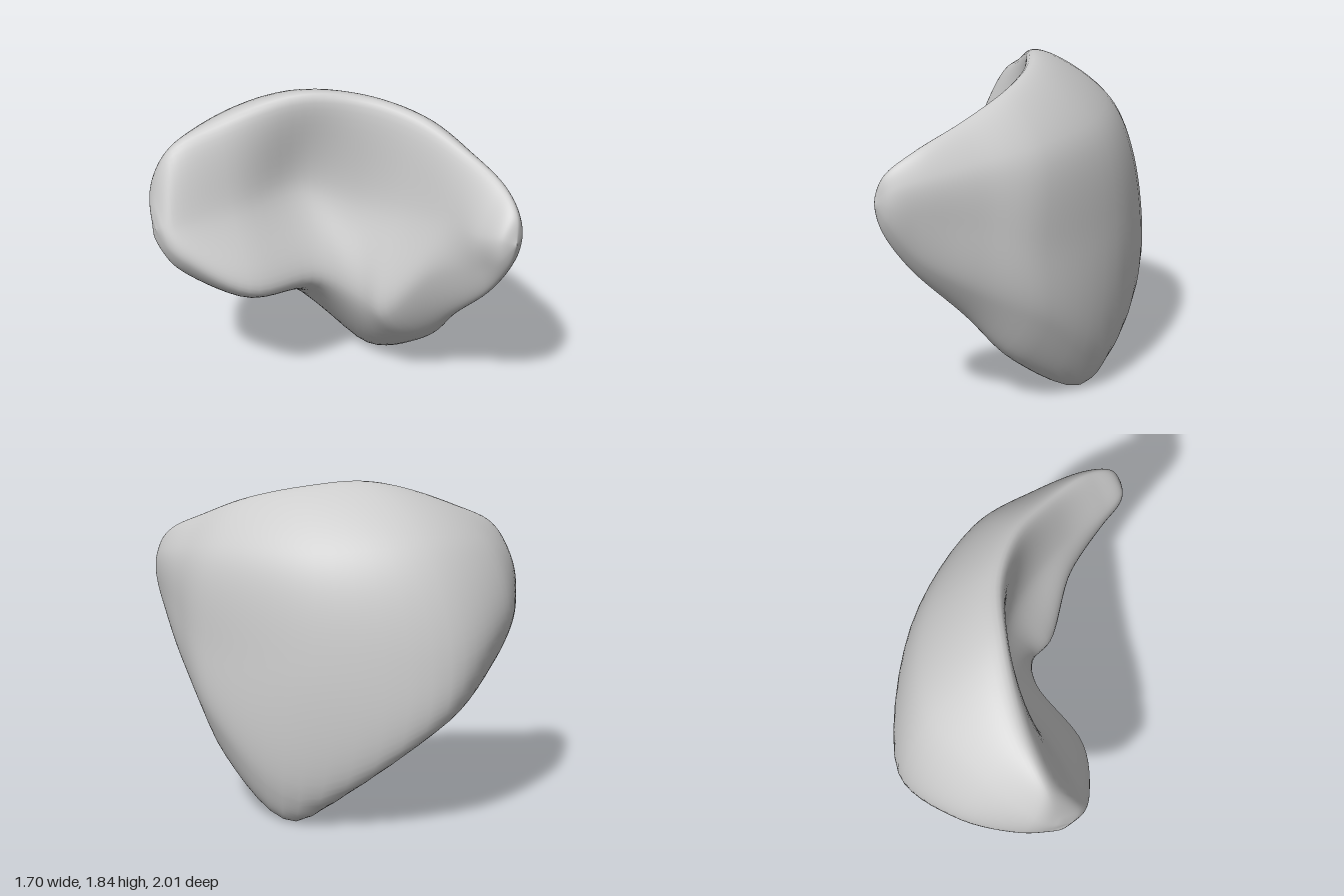
import * as THREE from 'three';
import { mergeVertices } from 'three/addons/utils/BufferGeometryUtils.js';

// The two rounded ends of the curved shell
const SIDE_END = [-0.85, 1.15, -0.43];
const FRONT_END = [0.57, 1.26, 1.0];

// Lengthwise rails from the side lobe, around the back, to the front tip.
// Together they go round the cross-section: rim, outside, underside, inside.
const RAILS = {
  rim: [[-0.82, 1.29, -0.49], [-0.71, 1.56, -0.5], [-0.42, 1.7, -0.43], [0.0, 1.83, -0.24],
    [0.3, 1.81, -0.05], [0.49, 1.74, 0.2], [0.58, 1.63, 0.5], [0.62, 1.52, 0.79], [0.6, 1.41, 0.95]],
  outerHigh: [[-0.825, 1.24, -0.53], [-0.75, 1.36, -0.63], [-0.45, 1.5, -0.74], [0.02, 1.54, -0.76],
    [0.51, 1.5, -0.42], [0.77, 1.47, 0.12], [0.76, 1.43, 0.5], [0.71, 1.38, 0.8], [0.64, 1.34, 0.95]],
  outer: [[-0.82, 1.14, -0.53], [-0.73, 1.1, -0.67], [-0.44, 1.1, -0.91], [0.02, 0.95, -0.99],
    [0.6, 0.9, -0.52], [0.84, 0.95, 0.15], [0.79, 1.1, 0.5], [0.71, 1.17, 0.8], [0.65, 1.25, 0.95]],
  outerLow: [[-0.825, 1.06, -0.5], [-0.73, 0.95, -0.56], [-0.42, 0.78, -0.76], [0.05, 0.59, -0.93],
    [0.61, 0.17, -0.42], [0.81, 0.52, 0.11], [0.74, 0.75, 0.5], [0.65, 0.95, 0.8], [0.62, 1.15, 0.95]],
  bottom: [[-0.82, 1.01, -0.41], [-0.74, 0.88, -0.4], [-0.45, 0.67, -0.4], [0.02, 0.51, -0.45],
    [0.54, 0.0, -0.29], [0.63, 0.26, 0.2], [0.57, 0.58, 0.5], [0.56, 0.88, 0.8], [0.56, 1.1, 0.95]],
  innerLip: [[-0.825, 1.06, -0.33], [-0.75, 0.98, -0.24], [-0.45, 0.79, -0.05], [0.0, 0.73, -0.04],
    [0.2, 0.58, 0.08], [0.24, 0.56, 0.24], [0.41, 0.91, 0.52], [0.49, 1.04, 0.8], [0.51, 1.16, 0.95]],
  innerHollow: [[-0.835, 1.18, -0.37], [-0.78, 1.2, -0.33], [-0.42, 1.22, -0.27], [0.02, 1.25, -0.28],
    [0.27, 1.18, -0.05], [0.39, 1.17, 0.19], [0.46, 1.25, 0.52], [0.465, 1.26, 0.8], [0.5, 1.29, 0.95]],
};

// Skin a surface through closed cross-sections taken across the rails
function skin(rails, lengthSteps, ringSteps) {
  const curves = Object.values(rails).map((points) => new THREE.CatmullRomCurve3(
    [SIDE_END, ...points, FRONT_END].map((p) => new THREE.Vector3(...p)), false, 'centripetal'));
  const positions = [];
  const index = [];
  for (let i = 0; i <= lengthSteps; i++) {
    // Steps are closer together at the rounded ends
    const u = 0.5 - 0.5 * Math.cos(Math.PI * i / lengthSteps);
    const atEnd = i === 0 || i === lengthSteps;
    const end = new THREE.Vector3(...(i === 0 ? SIDE_END : FRONT_END));
    const ring = atEnd ? null : new THREE.CatmullRomCurve3(
      curves.map((c) => c.getPoint(u)), true, 'centripetal');
    for (let j = 0; j < ringSteps; j++) {
      const p = atEnd ? end : ring.getPoint(j / ringSteps);
      positions.push(p.x, p.y, p.z);
    }
  }
  for (let i = 0; i < lengthSteps; i++) {
    for (let j = 0; j < ringSteps; j++) {
      const k = (j + 1) % ringSteps;
      const a = i * ringSteps + j;
      const b = i * ringSteps + k;
      const c = a + ringSteps;
      const d = b + ringSteps;
      if (i < lengthSteps - 1) index.push(c, d, b);
      if (i > 0) index.push(a, c, b);
    }
  }
  const geometry = new THREE.BufferGeometry();
  geometry.setAttribute('position', new THREE.Float32BufferAttribute(positions, 3));
  geometry.setIndex(index);
  const merged = mergeVertices(geometry, 1e-5);
  merged.computeVertexNormals();
  return merged;
}

export function createModel() {
  const group = new THREE.Group();
  group.name = 'curvedShell';
  const grey = new THREE.MeshStandardMaterial({ color: 0xcccccc });
  grey.name = 'plain grey';

  // Single smooth crescent body
  const body = new THREE.Mesh(skin(RAILS, 96, 84), grey);
  body.name = 'crescentBody';
  group.add(body);
  return group;
}
